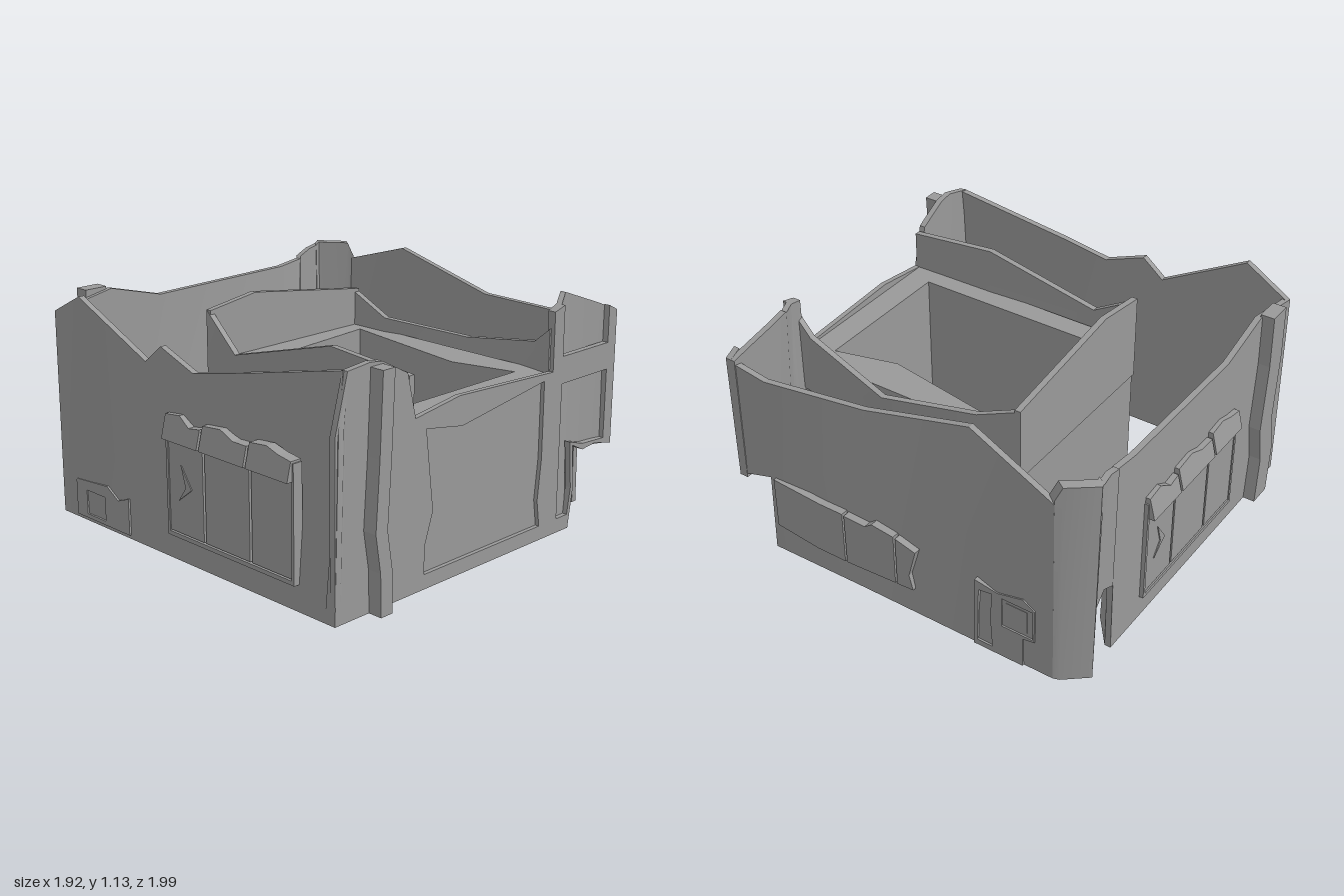
import * as THREE from 'three';
import { toCreasedNormals } from 'three/addons/utils/BufferGeometryUtils.js';

const stone = new THREE.MeshStandardMaterial({ color: 0x999999, side: THREE.DoubleSide });
stone.name = 'greyStone';

function part(name, geometry) {
  const m = new THREE.Mesh(geometry, stone);
  m.name = name;
  return m;
}

// Geometry from a flat list of triangle corners, smooth only across shallow angles
function fromTriangles(pos) {
  const g = new THREE.BufferGeometry();
  g.setAttribute('position', new THREE.Float32BufferAttribute(pos, 3));
  return toCreasedNormals(g, 0.5);
}

// Wall with a ragged top. Station: [xBase, zBase, xTop, zTop, yTop, yBottom, innerBaseBulge]
// The inward direction is [nx, nz]; stations run counter-clockwise around the building.
function wall(name, inward, thick, stations) {
  const [nx, nz] = inward;
  const rings = stations.map(([xb, zb, xt, zt, yt, y0 = 0, bulge = 0]) => {
    const t = y0 / yt, x0 = xb + (xt - xb) * t, z0 = zb + (zt - zb) * t;
    const tb = thick + bulge;
    return [
      [x0, y0, z0], [xt, yt, zt],
      [xt + nx * thick, yt, zt + nz * thick], [x0 + nx * tb, y0, z0 + nz * tb],
    ];
  });
  const pos = [];
  const quad = (a, b, c, d) => pos.push(...a, ...b, ...c, ...a, ...c, ...d);
  for (let i = 0; i < rings.length - 1; i++) {
    const onGround = rings[i][0][1] + rings[i + 1][0][1] === 0;
    for (let k = 0; k < (onGround ? 3 : 4); k++) {
      const n = (k + 1) % 4;
      quad(rings[i][k], rings[i + 1][k], rings[i + 1][n], rings[i][n]);
    }
  }
  quad(...rings[0]);
  quad(...rings[rings.length - 1].slice().reverse());
  return part(name, fromTriangles(pos));
}

const shapeOf = (pts) => new THREE.Shape(pts.map(([x, y]) => new THREE.Vector2(x, y)));
const rect = (x0, y0, x1, y1) => [[x0, y0], [x1, y0], [x1, y1], [x0, y1]];

// Flat outline set on one side of the building, from depth d0 out to d1; lean tips its front back with height
const turns = { front: 0, right: Math.PI / 2, back: Math.PI, left: -Math.PI / 2 };
function plate(name, side, pts, d0, d1, holes = [], lean = 0) {
  const s = shapeOf(pts);
  holes.forEach((h) => s.holes.push(shapeOf(h)));
  const g = new THREE.ExtrudeGeometry(s, { depth: d1 - d0, bevelEnabled: false });
  const p = g.attributes.position;
  for (let i = 0; i < p.count; i++) {
    if (p.getZ(i) > 0) p.setZ(i, p.getZ(i) - lean * (p.getY(i) - pts[0][1]));
  }
  g.computeVertexNormals();
  g.translate(0, 0, d0);
  g.rotateY(turns[side]);
  return part(name, g);
}

// Three-pane shop window with a chipped canopy leaning out at its foot
function shopWindow(side, u0, u1, base, splits) {
  const g = new THREE.Group();
  g.name = side + 'Window';
  g.add(plate('windowFrame', side, rect(u0, 0.12, u1, 0.66), base - 0.03, base + 0.02,
    [rect(u0 + 0.015, 0.14, u1 - 0.015, 0.62)]));
  const edges = [u0, ...splits, u1];
  for (let i = 0; i < 3; i++) {
    const a = edges[i] + 0.007, b = edges[i + 1] - 0.007, w = b - a;
    g.add(plate('windowPane', side, rect(a, 0.145, b, 0.6), base - 0.03, base + 0.015));
    g.add(plate('canopy', side, [[a, 0.58], [b, 0.58], [b, 0.67], [a + w * 0.7, 0.66 + 0.01 * i],
      [a + w * 0.4, 0.7], [a, 0.69]], base - 0.03, base + 0.05, [], 0.25));
  }
  const c = u0 + 0.08;
  g.add(plate('chip', side, [[c, 0.3], [c + 0.09, 0.37], [c + 0.02, 0.47], [c + 0.05, 0.37]],
    base, base + 0.02));
  return g;
}

// Bent square post following [u, y] points
function post(side, path, w, d0, d1) {
  const right = path.map(([u, y]) => [u + w / 2, y]);
  const left = path.map(([u, y]) => [u - w / 2, y]).reverse();
  return plate(side + 'Post', side, [...right, ...left], d0, d1);
}

// Solid room around an open shaft, hollow underneath
function innerRoom() {
  const s = shapeOf([[-0.47, -0.9], [0.49, -0.9], [0.49, 0.36], [-0.47, 0.36]]);
  s.holes.push(shapeOf([[-0.36, -0.77], [0.38, -0.77], [0.3, -0.46], [0.42, 0.25], [-0.18, 0.19], [-0.36, 0.25]]));
  const g = new THREE.ExtrudeGeometry(s, { depth: 0.79, bevelEnabled: false });
  g.rotateX(-Math.PI / 2);
  const p = g.attributes.position, pos = [];
  for (let i = 0; i < p.count; i += 3) {
    const top = Math.max(p.getY(i), p.getY(i + 1), p.getY(i + 2));
    if (top > 0.01) pos.push(...p.array.slice(i * 3, i * 3 + 9));
  }
  return part('innerRoom', fromTriangles(pos));
}

export function createModel() {
  const model = new THREE.Group();
  model.name = 'ruinedBuilding';

  // Outer walls
  model.add(wall('frontWallLeft', [0, -1], 0.03, [
    [-0.92, 0.92, -0.92, 0.92, 0.82], [-0.84, 0.92, -0.83, 0.9, 1.07], [-0.72, 0.92, -0.72, 0.92, 1.09],
    [-0.65, 0.92, -0.65, 0.92, 1.08], [-0.5, 0.92, -0.5, 0.92, 1.0], [-0.45, 0.92, -0.45, 0.92, 0.8],
  ]));
  model.add(wall('frontWallRight', [0, -1], 0.03, [
    [0.47, 0.91, 0.47, 0.91, 1.08], [0.54, 0.9, 0.54, 0.9, 1.1], [0.63, 0.9, 0.635, 0.845, 1.125],
    [0.635, 0.9, 0.64, 0.845, 1.13, 0.41], [0.72, 0.9, 0.72, 0.855, 1.1, 0.37],
    [0.85, 0.9, 0.85, 0.88, 1.05, 0.36], [0.94, 0.91, 0.94, 0.9, 1.01, 0.35],
  ]));
  model.add(wall('rightWall', [-1, 0], 0.03, [
    [0.94, 0.92, 0.94, 0.92, 1.0, 0.36], [0.94, 0.74, 0.925, 0.72, 0.95, 0.41], [0.945, 0.73, 0.925, 0.715, 0.95],
    [0.94, 0.2, 0.87, 0.2, 0.975], [0.94, -0.36, 0.87, -0.36, 1.12], [0.94, -0.83, 0.95, -0.83, 0.98],
  ]));
  model.add(wall('backCorner', [-0.5, 0.7], 0.06, [
    [0.94, -0.83, 0.95, -0.83, 1.0], [0.93, -0.86, 0.935, -0.86, 1.07], [0.84, -0.97, 0.84, -0.985, 1.07],
    [0.81, -0.95, 0.81, -0.975, 1.06],
  ]));
  model.add(wall('backWall', [0, 1], 0.03, [
    [0.83, -0.95, 0.83, -0.98, 1.06, 0.36], [0.73, -0.94, 0.73, -0.96, 1.05, 0.42],
    [0.65, -0.94, 0.65, -0.95, 1.02, 0.38], [0.64, -0.94, 0.64, -0.94, 1.01],
    [0.5, -0.94, 0.5, -0.94, 0.99, 0, 0.11], [-0.31, -0.94, -0.31, -0.94, 0.98, 0, 0.02],
    [-0.61, -0.94, -0.61, -0.94, 1.06], [-0.92, -0.94, -0.92, -0.94, 1.0],
  ]));
  model.add(wall('leftWall', [1, 0], 0.03, [
    [-0.92, -0.94, -0.92, -0.94, 1.0], [-0.92, -0.7, -0.955, -0.7, 1.115], [-0.92, -0.27, -0.92, -0.27, 0.89],
    [-0.92, -0.16, -0.92, -0.16, 0.98], [-0.92, 0.05, -0.915, 0.05, 0.9], [-0.92, 0.3, -0.9, 0.3, 0.95],
    [-0.92, 0.86, -0.835, 0.88, 1.07], [-0.92, 0.92, -0.9, 0.92, 0.85],
  ]));

  // Inner room with thin broken parapets above its ledge
  model.add(innerRoom());
  model.add(wall('parapetRight', [-1, 0], 0.03, [
    [0.49, 0.9, 0.49, 0.9, 1.0, 0.6], [0.49, 0.8, 0.51, 0.8, 0.92, 0.6], [0.49, 0.32, 0.6, 0.32, 0.83, 0.6],
    [0.49, -0.13, 0.5, -0.13, 0.86, 0.6], [0.49, -0.365, 0.5, -0.365, 0.97, 0.6],
  ]));
  model.add(wall('parapetBack', [0, 1], 0.03, [
    [0.5, -0.365, 0.5, -0.365, 0.97, 0.6], [-0.2, -0.365, -0.2, -0.365, 1.07, 0.6],
    [-0.48, -0.365, -0.48, -0.365, 1.03, 0.6],
  ]));
  model.add(wall('parapetLeft', [1, 0], 0.03, [
    [-0.475, -0.365, -0.48, -0.365, 1.03, 0.6], [-0.475, -0.12, -0.525, -0.12, 0.87, 0.6],
    [-0.475, 0.46, -0.49, 0.46, 1.02, 0.6], [-0.475, 0.91, -0.48, 0.91, 0.98, 0.6],
  ]));

  // Front opening surround with a broken lintel
  model.add(plate('frontSurround', 'front',
    [[-0.46, 0], [0.48, 0], [0.48, 0.8], [-0.17, 0.83], [-0.46, 0.79]], 0.895, 0.92,
    [[[-0.38, 0.07], [0.41, 0.07], [0.39, 0.2], [0.41, 0.4], [0.41, 0.77], [-0.15, 0.69],
      [-0.38, 0.73], [-0.33, 0.35], [-0.38, 0.2]]]));
  // Raised framing of the front right pier, open at the top
  model.add(plate('pierFrame', 'front',
    [[0.47, 0], [0.63, 0], [0.66, 0.2], [0.64, 0.41], [0.72, 0.37], [0.82, 0.38], [0.94, 0.35],
      [0.94, 1.01], [0.88, 1.04], [0.88, 0.86], [0.54, 0.86], [0.54, 1.1], [0.47, 1.08]], 0.89, 0.92,
    [[[0.54, 0.07], [0.62, 0.07], [0.64, 0.2], [0.62, 0.43],
      [0.72, 0.4], [0.88, 0.39], [0.88, 0.73], [0.54, 0.73]]]));

  // Bent posts on front and back
  model.add(post('front', [[-0.685, 0], [-0.69, 0.2], [-0.72, 0.38], [-0.7, 0.7], [-0.685, 1.07]], 0.07, 0.91, 0.99));
  model.add(post('back', [[0.68, 0], [0.7, 0.25], [0.66, 0.45], [0.69, 0.8], [0.685, 1.07]], 0.12, 0.93, 1.0));

  // Windows on back and left
  model.add(shopWindow('back', -0.4, 0.42, 0.94, [-0.15, 0.16]));
  model.add(shopWindow('left', -0.12, 0.7, 0.92, [0.13, 0.43]));

  // Low broken window on the right: three separate panes
  const low = new THREE.Group();
  low.name = 'rightWindow';
  [
    [[-0.7, 0.15], [-0.46, 0.12], [-0.3, 0.12], [-0.3, 0.4], [-0.43, 0.4], [-0.7, 0.42]],
    [[-0.29, 0.12], [-0.01, 0.135], [-0.01, 0.405], [-0.13, 0.42], [-0.17, 0.39], [-0.29, 0.395]],
    [[0, 0.135], [0.09, 0.14], [0.07, 0.22], [0.11, 0.37], [0, 0.4]],
  ].forEach((pts) => low.add(plate('windowPane', 'right', pts, 0.9, 0.95)));
  model.add(low);

  // Side door and its little window
  model.add(plate('doorFrame', 'right',
    [[0.42, 0], [0.68, 0], [0.68, 0.16], [0.74, 0.17], [0.74, 0.35], [0.68, 0.39], [0.55, 0.36], [0.43, 0.38]],
    0.9, 0.95, [[[0.44, 0.03], [0.52, 0.03], [0.51, 0.2], [0.52, 0.34], [0.45, 0.33]], rect(0.57, 0.18, 0.73, 0.34)]));
  model.add(plate('doorPane', 'right', rect(0.59, 0.2, 0.7, 0.32), 0.9, 0.945));

  // Low hatch on the left near the back
  model.add(plate('hatch', 'left', [[-0.82, 0.02], [-0.42, 0.02], [-0.42, 0.2], [-0.5, 0.17], [-0.58, 0.22], [-0.82, 0.2]],
    0.915, 0.93, [rect(-0.74, 0.04, -0.6, 0.16)]));
  return model;
}
